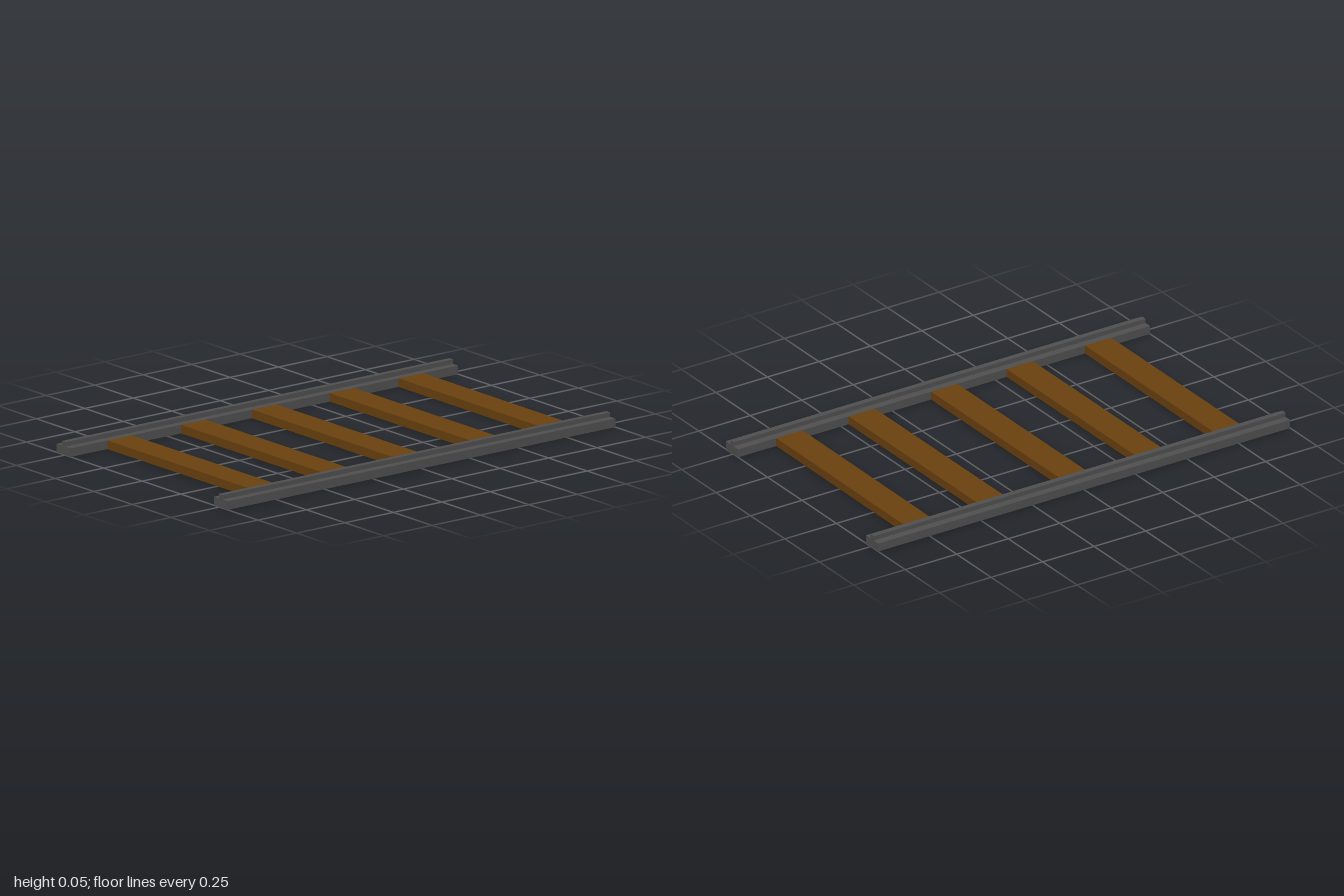
import * as THREE from 'three';

const STEEL = new THREE.MeshStandardMaterial({ color: 0x505050, flatShading: true });
const WOOD = new THREE.MeshStandardMaterial({ color: 0x6b420f, flatShading: true });

const LENGTH = 2, RAIL_X = 0.509, RAIL_HALF = 0.045;
const BASE_H = 0.036, RIDGE_HALF = 0.012, TOP = 0.055;

// Rail: wide base with a narrow raised ridge, extruded along z
function railGeometry() {
  const profile = new THREE.Shape([
    [-RAIL_HALF, 0], [RAIL_HALF, 0], [RAIL_HALF, BASE_H], [RIDGE_HALF, BASE_H],
    [RIDGE_HALF, TOP], [-RIDGE_HALF, TOP], [-RIDGE_HALF, BASE_H], [-RAIL_HALF, BASE_H],
  ].map(([x, y]) => new THREE.Vector2(x, y)));
  return new THREE.ExtrudeGeometry(profile, { depth: LENGTH, bevelEnabled: false })
    .translate(0, 0, -LENGTH / 2);
}

export function createModel() {
  const track = new THREE.Group();
  track.name = 'railTrack';

  // Two parallel rails
  const railGeo = railGeometry();
  for (const [name, side] of [['leftRail', 1], ['rightRail', -1]]) {
    const rail = new THREE.Mesh(railGeo, STEEL);
    rail.name = name;
    rail.position.x = side * RAIL_X;
    track.add(rail);
  }

  // Wooden ties spanning the gap; the rearmost sits very slightly askew
  const tieGeo = new THREE.BoxGeometry(2 * (RAIL_X - RAIL_HALF), BASE_H, 0.127);
  const ties = [[-0.754, -0.005], [-0.4, 0], [0, 0], [0.367, 0], [0.747, 0]];
  ties.forEach(([z, turn], i) => {
    const tie = new THREE.Mesh(tieGeo, WOOD);
    tie.name = `tie${i + 1}`;
    tie.position.set(0, BASE_H / 2, z);
    tie.rotation.y = turn;
    track.add(tie);
  });

  return track;
}
